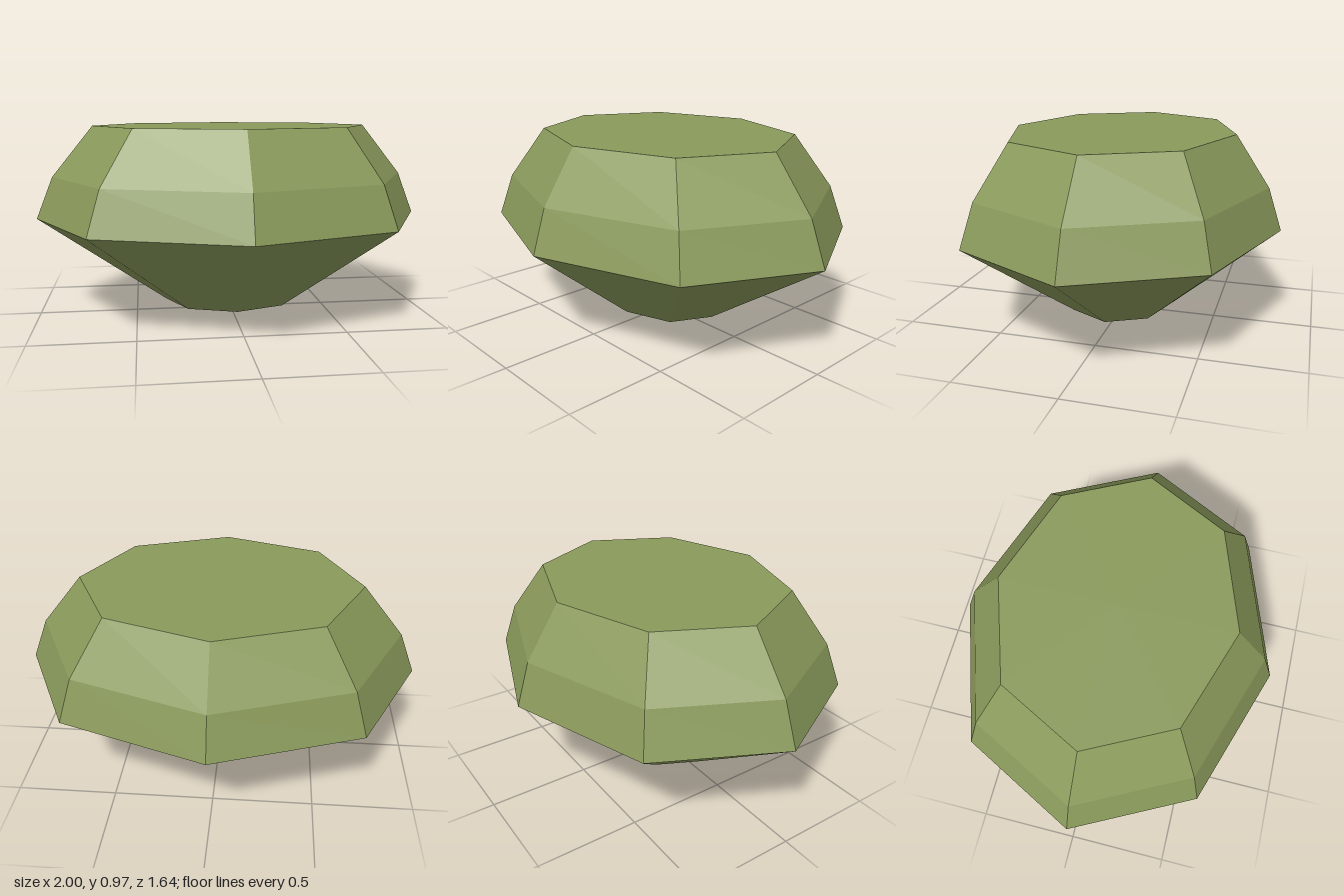
import * as THREE from 'three';

const SIDES = 8;
const DEPTH = 0.818; // the octagonal outline is narrower front to back

export function createModel() {
  const gem = new THREE.Group();
  gem.name = 'cutGem';
  const mossGreen = new THREE.MeshStandardMaterial({ color: 0x8a9a5b });
  mossGreen.name = 'mossGreen';

  // Eight-sided faceted solid of revolution; profile runs bottom to top
  function addFacets(name, profile) {
    const points = profile.map(([r, y]) => new THREE.Vector2(r, y));
    const geometry = new THREE.LatheGeometry(points, SIDES).toNonIndexed();
    geometry.scale(1, 1, DEPTH);
    geometry.computeVertexNormals(); // one normal per facet
    const mesh = new THREE.Mesh(geometry, mossGreen);
    mesh.name = name;
    gem.add(mesh);
  }

  // Lower half: shallow point, then wide sloping facets
  addFacets('pavilion', [[0, 0], [0.343, 0.053], [1, 0.5]]);
  // Upper half: two bands of facets
  addFacets('crown', [[1, 0.5], [0.915, 0.714], [0.706, 0.972]]);
  // Flat top
  addFacets('table', [[0.706, 0.972], [0, 0.972]]);

  return gem;
}
